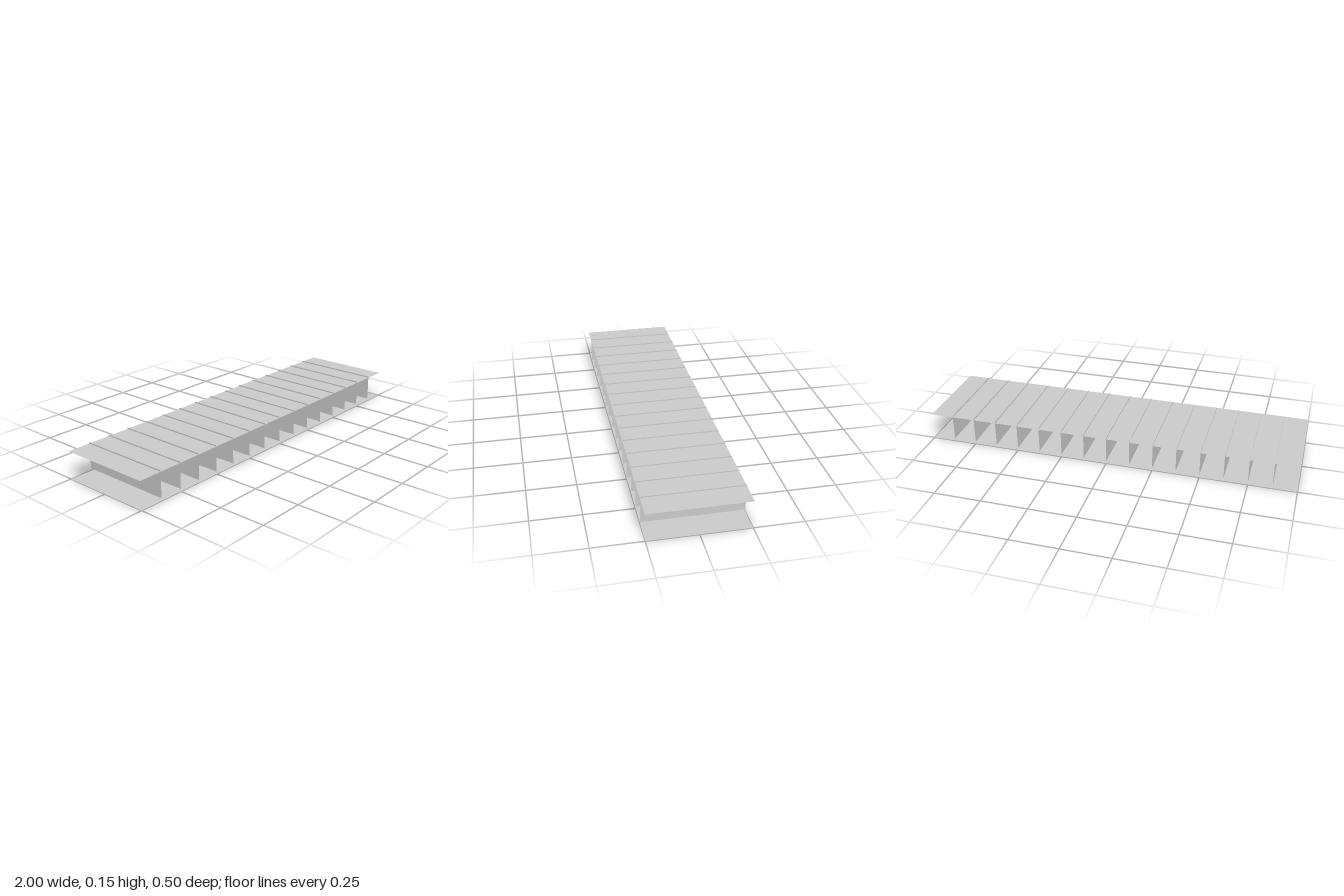
import * as THREE from 'three';

const LENGTH = 2, WIDTH = 0.5;
const TOP_PLATE_Y = 0.147;
const FIN_BOTTOM = 0.013, FIN_TOP = 0.154;
const FIN_COUNT = 15, FIN_STEP = 0.125;

export function createModel() {
  const model = new THREE.Group();
  model.name = 'finnedPanel';
  const material = new THREE.MeshStandardMaterial({ color: 0xcccccc, side: THREE.DoubleSide });

  // Two thin horizontal sheets
  const plateGeometry = new THREE.PlaneGeometry(LENGTH, WIDTH).rotateX(-Math.PI / 2);
  for (const [name, y] of [['bottomPlate', 0], ['topPlate', TOP_PLATE_Y]]) {
    const plate = new THREE.Mesh(plateGeometry, material);
    plate.name = name;
    plate.position.y = y;
    model.add(plate);
  }

  // Row of thin upright fins, just clear of the bottom sheet and poking through the top one
  const fins = new THREE.Group();
  fins.name = 'fins';
  const finGeometry = new THREE.PlaneGeometry(WIDTH, FIN_TOP - FIN_BOTTOM).rotateY(Math.PI / 2);
  for (let i = 0; i < FIN_COUNT; i++) {
    const fin = new THREE.Mesh(finGeometry, material);
    fin.name = `fin${i + 1}`;
    fin.position.set((i - (FIN_COUNT - 1) / 2) * FIN_STEP, (FIN_TOP + FIN_BOTTOM) / 2, 0);
    fins.add(fin);
  }
  model.add(fins);

  return model;
}
